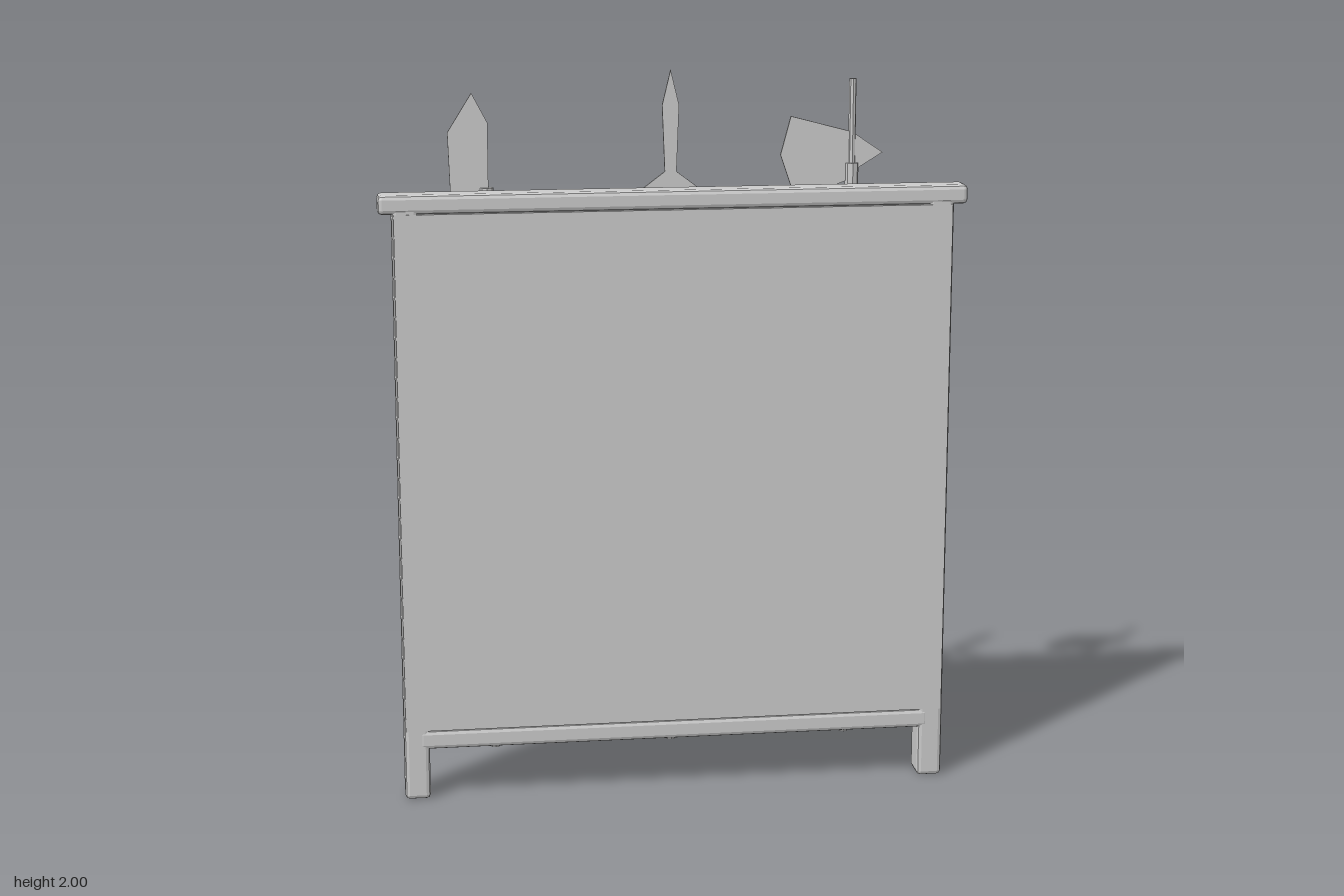
import * as THREE from 'three';
import { RoundedBoxGeometry } from 'three/addons/geometries/RoundedBoxGeometry.js';

const mat = new THREE.MeshStandardMaterial({ color: 0xcccccc, flatShading: true });
const smoothMat = new THREE.MeshStandardMaterial({ color: 0xcccccc });
const SHAFT_Z = -0.055;

function add(parent, name, geo, x = 0, y = 0, z = 0, material = mat) {
  const mesh = new THREE.Mesh(geo, material);
  mesh.name = name;
  mesh.position.set(x, y, z);
  parent.add(mesh);
  return mesh;
}

// Bevelled beam given by its min and max corners
function beam(parent, name, a, b, r = 0.012) {
  const s = a.map((v, i) => b[i] - v), c = a.map((v, i) => (b[i] + v) / 2);
  return add(parent, name, new RoundedBoxGeometry(...s, 1, r), ...c);
}

// Upright rod between two heights
function rod(parent, name, x, y0, y1, r, sides = 8) {
  return add(parent, name, new THREE.CylinderGeometry(r, r, y1 - y0, sides), x, (y0 + y1) / 2, SHAFT_Z);
}

// Thin flat blade from an outline in x and y
function blade(parent, name, pts) {
  const shape = new THREE.Shape(pts.map(p => new THREE.Vector2(...p)));
  const t = 0.008;
  const geo = new THREE.ExtrudeGeometry(shape, { depth: t, bevelEnabled: false });
  return add(parent, name, geo, 0, 0, SHAFT_Z - t / 2);
}

export function createModel() {
  const root = new THREE.Group();
  root.name = 'weaponRack';

  // Frame and backing board
  const frame = new THREE.Group();
  frame.name = 'frame';
  root.add(frame);
  add(frame, 'board', new THREE.BoxGeometry(1.51, 1.44, 0.035), 0, 0.92, 0.0625);
  for (const s of [-1, 1]) {
    const x = 0.725 * s;
    beam(frame, s > 0 ? 'leftPost' : 'rightPost', [x - 0.035, 0, -0.008], [x + 0.035, 1.66, 0.079]);
  }
  beam(frame, 'bottomRail', [-0.72, 0.145, -0.008], [0.72, 0.2, 0.08]);
  beam(frame, 'topRail', [-0.797, 1.64, 0.002], [0.797, 1.692, 0.08]);

  // Brackets holding the pole arms
  for (const x of [-0.5, 0, 0.5]) {
    beam(root, 'bracket', [x - 0.035, 1.285, -0.077], [x + 0.035, 1.32, 0.05], 0.006);
  }

  // Glaive
  const glaive = new THREE.Group();
  glaive.name = 'glaive';
  root.add(glaive);
  rod(glaive, 'glaiveShaft', -0.5, 0.1, 1.68, 0.014);
  rod(glaive, 'glaiveSocket', -0.5, 1.6, 1.69, 0.019);
  blade(glaive, 'glaiveBlade', [
    [-0.495, 1.62], [-0.495, 1.865], [-0.537, 1.945], [-0.603, 1.84], [-0.595, 1.6],
  ]);

  // Winged spear
  const spear = new THREE.Group();
  spear.name = 'spear';
  root.add(spear);
  rod(spear, 'spearShaft', 0, 0.1, 1.62, 0.014);
  rod(spear, 'spearSocket', 0, 1.53, 1.635, 0.019);
  const half = [[0.023, 1.905], [0.016, 1.725], [0.12, 1.647], [0.02, 1.672], [0.014, 1.62]];
  blade(spear, 'spearBlade', [
    [0, 2], ...half, ...half.slice().reverse().map(([x, y]) => [-x, y]),
  ]);

  // Halberd
  const halberd = new THREE.Group();
  halberd.name = 'halberd';
  root.add(halberd);
  rod(halberd, 'halberdShaft', 0.5, 0.1, 1.74, 0.014);
  rod(halberd, 'halberdSocket', 0.5, 1.64, 1.74, 0.019);
  rod(halberd, 'halberdSpike', 0.5, 1.72, 1.97, 0.01);
  blade(halberd, 'halberdHead', [
    [0.33, 1.87], [0.5, 1.825], [0.585, 1.768], [0.52, 1.728], [0.48, 1.69],
    [0.345, 1.64], [0.302, 1.765],
  ]);

  // Round shield with a central boss, facing the back
  const profile = [[0, 0.042], [0.028, 0.041], [0.046, 0.034], [0.05, 0.024], [0.05, 0.024],
    [0.13, 0.009], [0.235, -0.014], [0.235, -0.014], [0.235, -0.03], [0.235, -0.03], [0, -0.03]];
  const lathe = new THREE.LatheGeometry(profile.reverse().map(p => new THREE.Vector2(...p)), 48);
  lathe.rotateX(-Math.PI / 2);
  add(root, 'shield', lathe, 0, 0.81, 0, smoothMat);

  // Hilts of two crossed swords, aimed at the shield centre
  for (const s of [-1, 1]) {
    const sword = new THREE.Group();
    sword.name = 'swordHilt';
    sword.position.set(0.195 * s, 0.59, 0.04);
    sword.rotation.z = 0.715 * s;
    const grip = new THREE.CylinderGeometry(0.011, 0.011, 0.19, 8);
    add(sword, 'grip', grip, 0, -0.095, 0);
    add(sword, 'crossguard', new THREE.BoxGeometry(0.2, 0.018, 0.022), 0, 0, 0);
    add(sword, 'pommel', new THREE.SphereGeometry(0.019, 12, 8), 0, -0.197, 0, smoothMat);
    root.add(sword);
  }
  return root;
}
